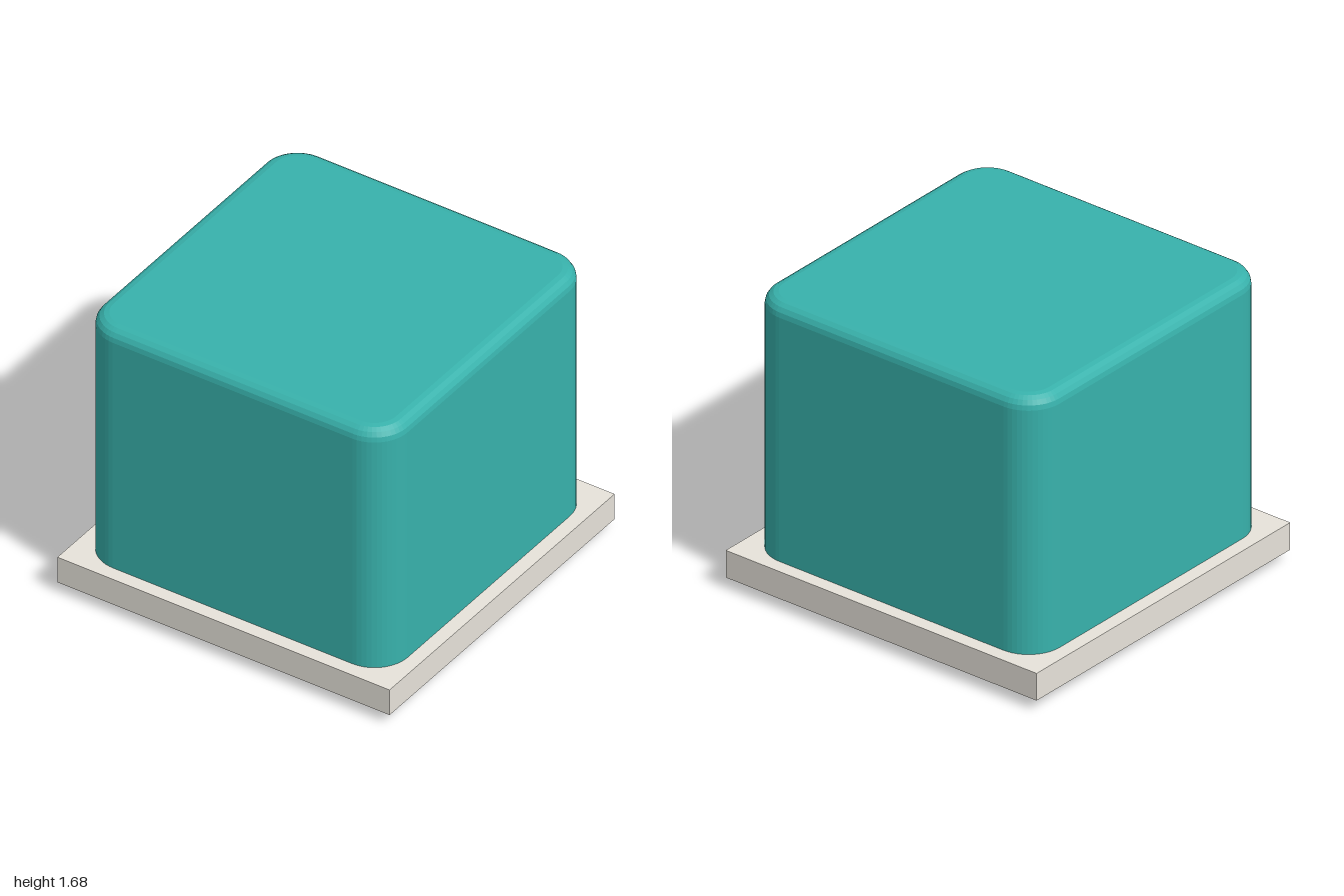
import * as THREE from 'three';

// Square outline with rounded corners, centred on the origin
function roundedSquare(half, radius) {
  const shape = new THREE.Shape();
  const c = half - radius;
  shape.moveTo(-c, -half);
  shape.absarc(c, -c, radius, -Math.PI / 2, 0);
  shape.absarc(c, c, radius, 0, Math.PI / 2);
  shape.absarc(-c, c, radius, Math.PI / 2, Math.PI);
  shape.absarc(-c, -c, radius, Math.PI, Math.PI * 1.5);
  return shape;
}

export function createModel() {
  const group = new THREE.Group();
  const half = 0.92, height = 1.675, bevel = 0.07, radius = 0.2;

  // Block with rounded upright corners and bevelled top and bottom rims
  const bodyGeometry = new THREE.ExtrudeGeometry(roundedSquare(half - bevel, radius - bevel), {
    depth: height - 2 * bevel,
    bevelThickness: bevel,
    bevelSize: bevel,
    bevelSegments: 4,
    curveSegments: 6,
  });
  bodyGeometry.rotateX(-Math.PI / 2).translate(0, bevel, 0);
  const body = new THREE.Mesh(bodyGeometry, new THREE.MeshStandardMaterial({ color: 0x38b2ac }));
  body.name = 'body';
  group.add(body);

  // Square plate around the foot of the block
  const plate = new THREE.Mesh(
    new THREE.BoxGeometry(2, 0.155, 2),
    new THREE.MeshStandardMaterial({ color: 0xe7e3da })
  );
  plate.position.y = 0.1375;
  plate.name = 'basePlate';
  group.add(plate);

  return group;
}
